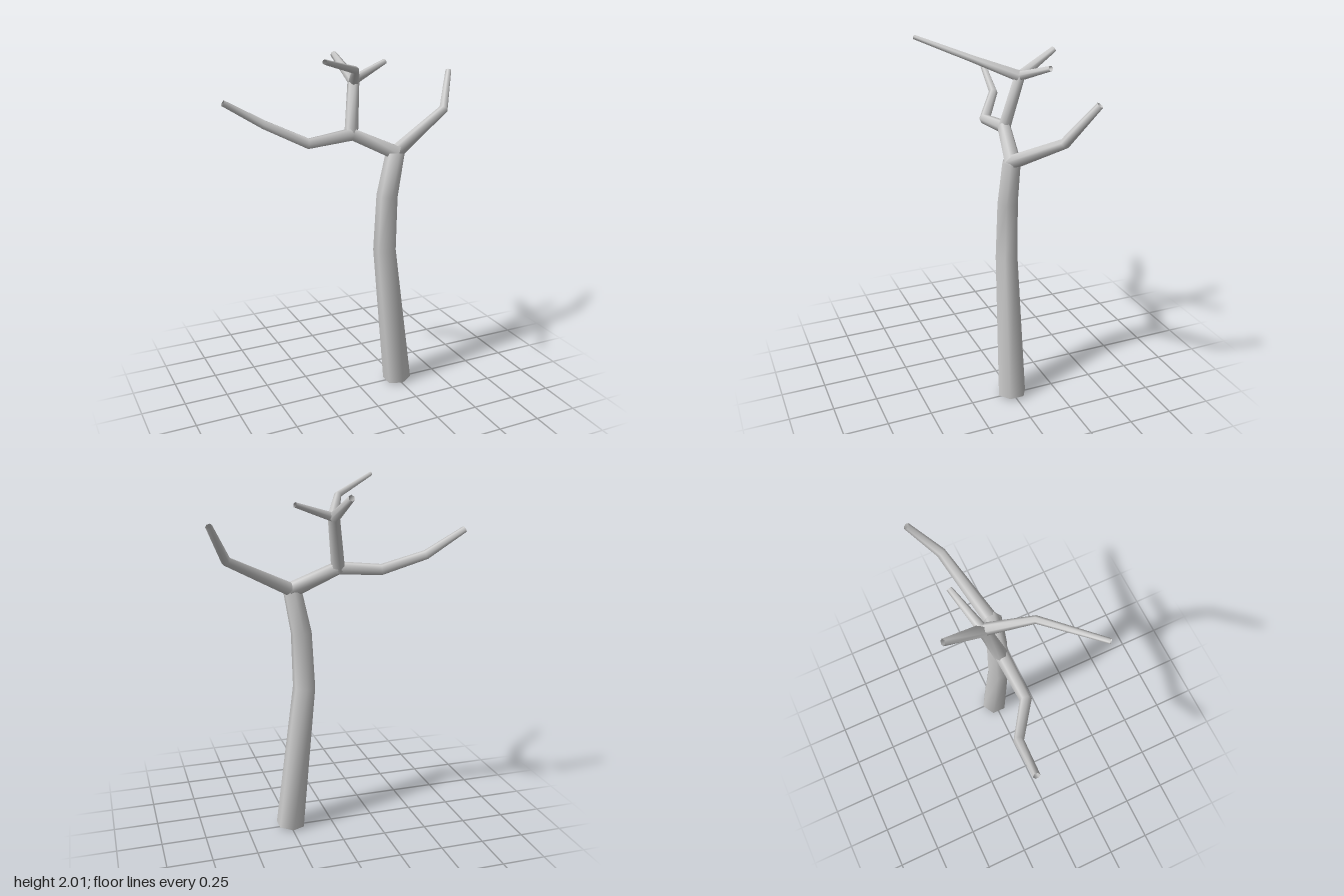
import * as THREE from 'three';

const SIDES = 6;
const bark = new THREE.MeshStandardMaterial({ color: 0xcccccc, side: THREE.DoubleSide });

// Tapered six-sided limb through stations [x, y, z, radius], open at both ends
function limb(name, stations) {
  const pts = stations.map(([x, y, z]) => new THREE.Vector3(x, y, z));
  const pos = [], index = [];
  let u = new THREE.Vector3(0, 0, 1);
  pts.forEach((p, i) => {
    // Ring plane faces halfway between the segments that meet here
    const t = new THREE.Vector3();
    if (i > 0) t.add(p.clone().sub(pts[i - 1]).normalize());
    if (i < pts.length - 1) t.add(pts[i + 1].clone().sub(p).normalize());
    t.normalize();
    u = u.clone().addScaledVector(t, -u.dot(t)).normalize();
    const v = new THREE.Vector3().crossVectors(t, u);
    for (let k = 0; k < SIDES; k++) {
      const a = (k / SIDES) * Math.PI * 2, r = stations[i][3];
      const q = p.clone().addScaledVector(u, r * Math.cos(a)).addScaledVector(v, r * Math.sin(a));
      pos.push(q.x, q.y, q.z);
      if (i < pts.length - 1) {
        const b = i * SIDES + k, c = i * SIDES + (k + 1) % SIDES;
        index.push(b, c, c + SIDES, b, c + SIDES, b + SIDES);
      }
    }
  });
  const geo = new THREE.BufferGeometry();
  geo.setAttribute('position', new THREE.Float32BufferAttribute(pos, 3));
  geo.setIndex(index);
  geo.computeVertexNormals();
  const mesh = new THREE.Mesh(geo, bark);
  mesh.name = name;
  return mesh;
}

export function createModel() {
  const tree = new THREE.Group();
  tree.name = 'bareTree';

  // Trunk leans, straightens, then closes over at the first fork
  tree.add(limb('trunk', [
    [0.25, 0, 0.003, 0.083], [0.157, 0.85, 0.003, 0.065], [0.17, 1.17, 0.003, 0.06],
    [0.217, 1.41, 0.003, 0.053], [0.218, 1.425, 0, 0.002],
  ]));

  // Lower bough on the left
  tree.add(limb('leftBough', [
    [0.215, 1.41, 0, 0.04], [0.59, 1.61, -0.11, 0.027], [0.69, 1.81, -0.235, 0.018],
  ]));

  // Bough crossing to the right and bending up at its end
  tree.add(limb('rightBough', [
    [0.23, 1.41, 0, 0.045], [-0.02, 1.53, -0.055, 0.038], [-0.28, 1.505, -0.045, 0.031],
    [-0.48, 1.6, -0.18, 0.026], [-0.695, 1.73, -0.195, 0.018],
  ]));

  // Upper stem rising from the right bough, running on into the back twig
  tree.add(limb('upperStem', [
    [-0.025, 1.515, -0.055, 0.038], [0.022, 1.81, -0.125, 0.034], [-0.005, 1.932, -0.335, 0.018],
  ]));

  // Twigs at the top fork
  tree.add(limb('frontTwig', [
    [0.025, 1.81, -0.125, 0.032], [-0.07, 1.9, 0.1, 0.02], [-0.34, 1.985, 0.335, 0.013],
  ]));
  tree.add(limb('leftTwig', [
    [0.02, 1.81, -0.125, 0.027], [0.248, 1.892, -0.195, 0.015],
  ]));
  return tree;
}
